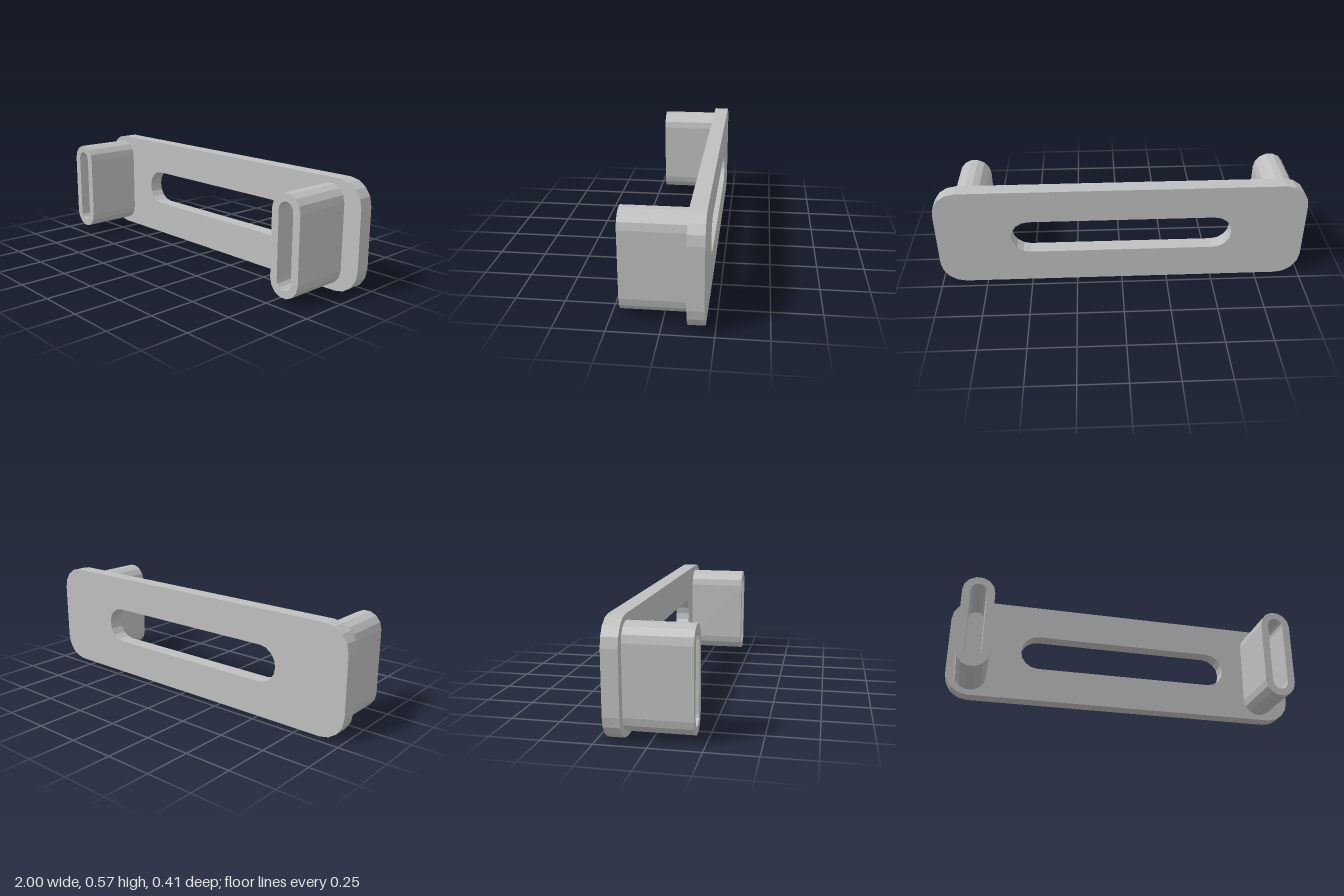
import * as THREE from 'three';

// Rounded rectangle outline with n straight facets per corner arc (or per half circle when fully round)
function outline(cx, cy, w, h, r, n) {
  const pts = [];
  const arc = (x, y, start, sweep) => {
    for (let i = 0; i <= n; i++) {
      const a = start + (sweep * i) / n;
      pts.push(new THREE.Vector2(x + r * Math.cos(a), y + r * Math.sin(a)));
    }
  };
  const dx = w / 2 - r, dy = h / 2 - r, q = Math.PI / 2;
  if (dx < 1e-6) {
    arc(cx, cy + dy, 0, Math.PI);
    arc(cx, cy - dy, Math.PI, Math.PI);
  } else if (dy < 1e-6) {
    arc(cx + dx, cy, -q, Math.PI);
    arc(cx - dx, cy, q, Math.PI);
  } else {
    arc(cx + dx, cy + dy, 0, q);
    arc(cx - dx, cy + dy, q, q);
    arc(cx - dx, cy - dy, 2 * q, q);
    arc(cx + dx, cy - dy, 3 * q, q);
  }
  return pts;
}

export function createModel() {
  const group = new THREE.Group();
  const grey = new THREE.MeshStandardMaterial({ color: 0xbfbfbf });
  grey.name = 'plain grey';

  const midY = 0.287, backZ = -0.203, plateZ = -0.122, frontZ = 0.203;

  const addSlotted = (name, outer, hole, z0, z1) => {
    const shape = new THREE.Shape(outer);
    shape.holes.push(new THREE.Path(hole));
    const geo = new THREE.ExtrudeGeometry(shape, { depth: z1 - z0, bevelEnabled: false });
    const mesh = new THREE.Mesh(geo, grey);
    mesh.name = name;
    mesh.position.z = z0;
    group.add(mesh);
  };

  // Back plate with a long central slot
  addSlotted('backPlate',
    outline(0, midY, 2, 0.574, 0.13, 4),
    outline(0, midY + 0.002, 1.2, 0.197, 0.0985, 8), backZ, plateZ);

  // Hollow posts standing forward from the plate
  for (const [name, x] of [['rightPost', -0.866], ['leftPost', 0.815]]) {
    addSlotted(name,
      outline(x, midY, 0.172, 0.516, 0.086, 7),
      outline(x, midY, 0.088, 0.436, 0.044, 7), plateZ, frontZ);
  }

  // Two round pads on the floor of the left post
  for (const y of [midY - 0.174, midY + 0.174]) {
    const pad = new THREE.Mesh(new THREE.CylinderGeometry(0.043, 0.043, 0.008, 16), grey);
    pad.name = 'floorPad';
    pad.rotation.x = Math.PI / 2;
    pad.position.set(0.815, y, plateZ + 0.004);
    group.add(pad);
  }

  return group;
}
